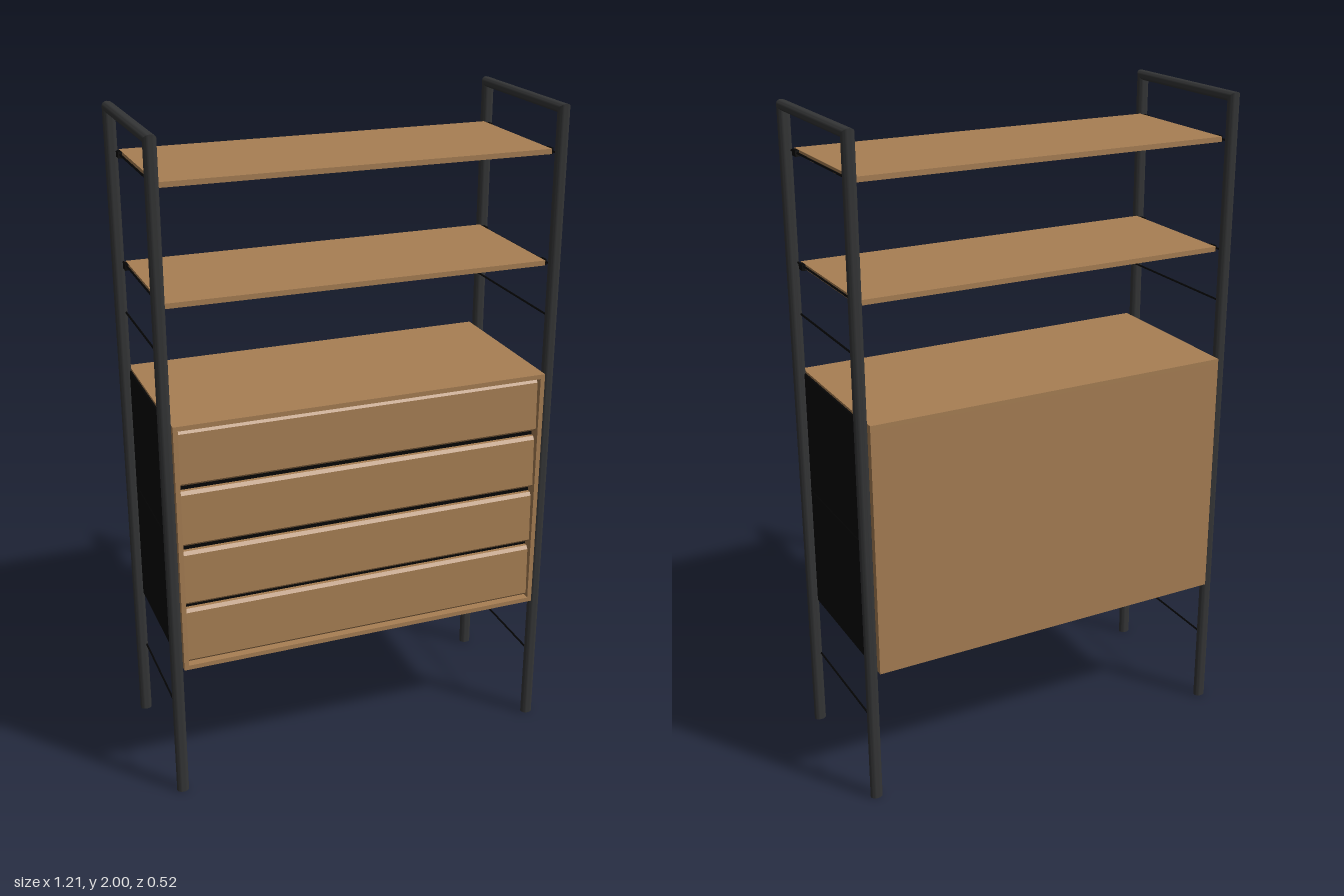
import * as THREE from 'three';
import { toCreasedNormals } from 'three/addons/utils/BufferGeometryUtils.js';

function material(name, color) {
  const m = new THREE.MeshStandardMaterial({ color });
  m.name = name;
  return m;
}

// Oval tube swept up one leg, across the top and down the other, with mitred corners
function sideFrameGeometry() {
  const n = 20, rx = 0.0185, rz = 0.0145, zc = 0.235, yc = 1.9855;
  const pos = [], index = [];
  for (let s = 0; s < 4; s++) {
    for (let i = 0; i < n; i++) {
      const a = (i / n) * Math.PI * 2;
      const u = rx * Math.cos(a), v = rz * Math.sin(a);
      const y = s === 0 || s === 3 ? 0 : yc + v;
      pos.push(u, y, (s < 2 ? 1 : -1) * (zc + v));
    }
  }
  for (let s = 0; s < 3; s++) {
    for (let i = 0; i < n; i++) {
      const j = (i + 1) % n;
      const a = s * n + i, b = s * n + j, c = a + n, d = b + n;
      index.push(a, c, b, b, c, d);
    }
  }
  // Feet caps
  for (let i = 1; i < n - 1; i++) {
    index.push(0, i, i + 1);
    index.push(3 * n, 3 * n + i + 1, 3 * n + i);
  }
  const g = new THREE.BufferGeometry();
  g.setAttribute('position', new THREE.Float32BufferAttribute(pos, 3));
  g.setIndex(index);
  return toCreasedNormals(g, 0.6);
}

// Drawer front: lower edge stands a little forward, upper edge bevelled as a grip
function drawerGeometry(width, height) {
  const s = new THREE.Shape();
  s.moveTo(0, 0);
  s.lineTo(0.022, 0);
  s.lineTo(0.026, 0.006);
  s.lineTo(0.02, height - 0.01);
  s.lineTo(0.012, height);
  s.lineTo(0, height);
  const g = new THREE.ExtrudeGeometry(s, { depth: width, bevelEnabled: false });
  g.translate(0, 0, -width / 2);
  g.rotateY(-Math.PI / 2); // profile depth now runs along +z
  return g;
}

export function createModel() {
  const root = new THREE.Group();
  root.name = 'shelvingUnit';
  const wood = material('oak wood', 0xa87f54);
  const steel = material('dark grey steel', 0x343536);
  const black = material('black', 0x050505);

  const add = (name, geometry, mat, x = 0, y = 0, z = 0, parent = root) => {
    const m = new THREE.Mesh(geometry, mat);
    m.name = name;
    m.position.set(x, y, z);
    parent.add(m);
    return m;
  };
  const box = (name, mat, w, h, d, x, y, z, parent) =>
    add(name, new THREE.BoxGeometry(w, h, d), mat, x, y, z, parent);

  // Side frames with cross rods
  const frameGeometry = sideFrameGeometry();
  const rodGeometry = new THREE.CylinderGeometry(0.003, 0.003, 0.46, 8);
  rodGeometry.rotateX(Math.PI / 2);
  for (const side of [-1, 1]) {
    const frame = new THREE.Group();
    frame.name = side > 0 ? 'leftFrame' : 'rightFrame';
    root.add(frame);
    add('frameTube', frameGeometry, steel, side * 0.588, 0, 0, frame);
    for (const y of [0.245, 0.82, 1.385, 1.54, 1.862]) {
      add('crossRod', rodGeometry, black, side * 0.575, y, 0, frame);
    }
  }

  // Open shelves on small brackets
  for (const y of [1.538, 1.863]) {
    const shelf = new THREE.Group();
    shelf.name = 'shelf';
    root.add(shelf);
    box('shelfBoard', wood, 1.14, 0.015, 0.43, 0, y, 0, shelf);
    for (const sx of [-1, 1]) {
      for (const sz of [-1, 1]) {
        box('shelfBracket', black, 0.07, 0.005, 0.026, sx * 0.535, y - 0.008, sz * 0.19, shelf);
        box('bracketHook', black, 0.012, 0.018, 0.026, sx * 0.575, y - 0.002, sz * 0.19, shelf);
      }
    }
  }

  // Cabinet carcass
  const cabinet = new THREE.Group();
  cabinet.name = 'cabinet';
  root.add(cabinet);
  const bottom = 0.433, top = 1.207, t = 0.014, zc = -0.002, depth = 0.516;
  const mid = (bottom + top) / 2, height = top - bottom;
  box('cabinetTop', wood, 1.14, t, depth, 0, top - t / 2, zc, cabinet);
  box('cabinetBottom', wood, 1.14, t, depth, 0, bottom + t / 2, zc, cabinet);
  box('cabinetBack', wood, 1.14, height - 2 * t, t, 0, mid, -0.253, cabinet);
  for (const sx of [-1, 1]) {
    box('cabinetSide', wood, t, height - 2 * t, depth - t, sx * 0.563, mid, zc + t / 2, cabinet);
    box('blackSidePanel', black, 0.006, height - 0.014, 0.47, sx * 0.573, mid, 0, cabinet);
  }
  box('drawerRecess', black, 1.112, height - 2 * t, 0.01, 0, mid, 0.215, cabinet);

  // Drawers
  const drawers = [[0.454, 0.624], [0.645, 0.811], [0.834, 1.0], [1.022, 1.186]];
  for (const [low, high] of drawers) {
    add('drawerFront', drawerGeometry(1.11, high - low), wood, 0, low, 0.22, cabinet);
  }

  return root;
}
